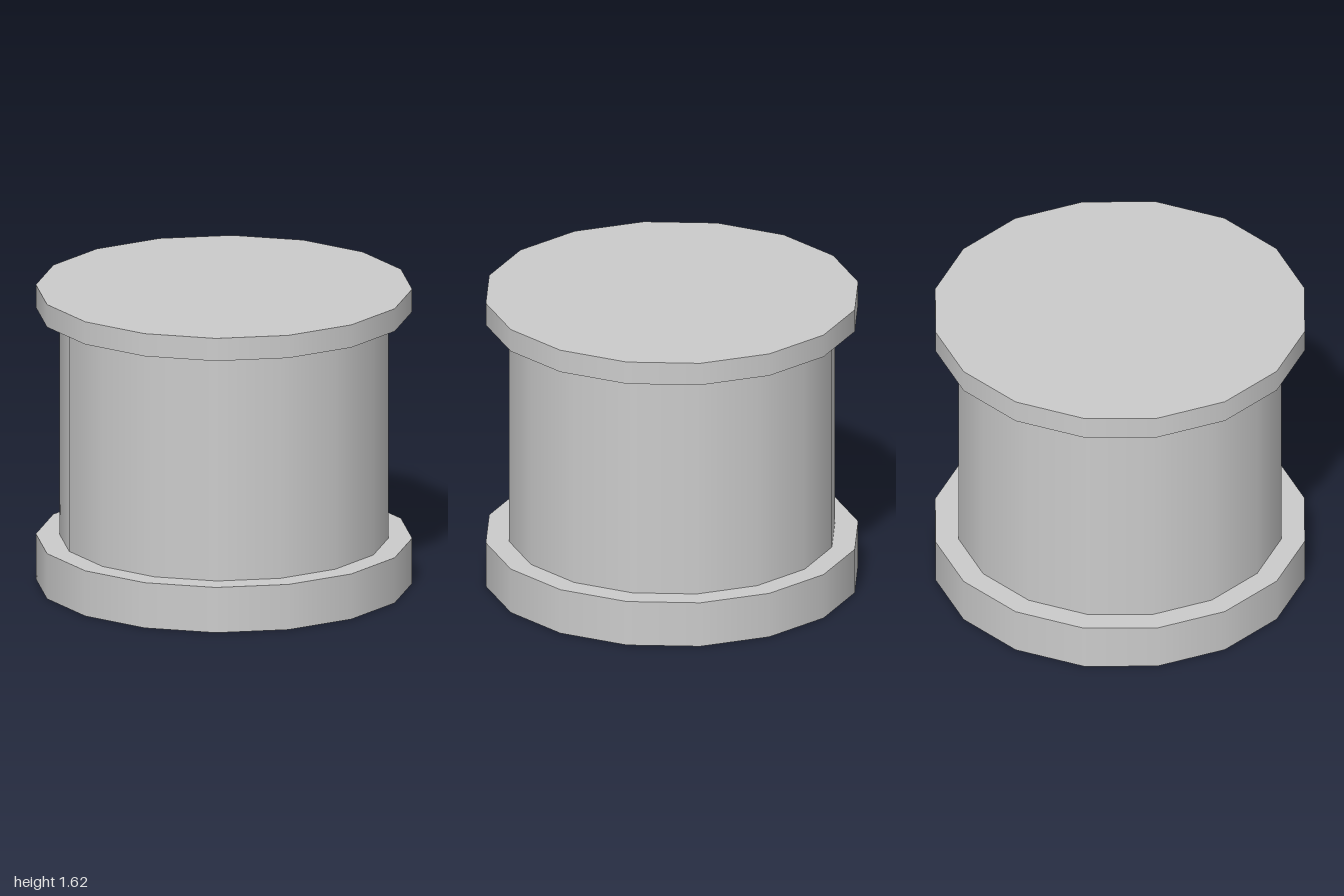
import * as THREE from 'three';

const SIDES = 16;

export function createModel() {
  const model = new THREE.Group();
  const material = new THREE.MeshStandardMaterial({ color: 0xcccccc });

  // A smooth-shaded 16-sided drum between two heights
  function addDrum(name, radius, bottom, top, openEnded = false) {
    const geometry = new THREE.CylinderGeometry(radius, radius, top - bottom, SIDES, 1, openEnded);
    const mesh = new THREE.Mesh(geometry, material);
    mesh.name = name;
    mesh.position.y = (bottom + top) / 2;
    model.add(mesh);
  }

  addDrum('baseFlange', 1, 0, 0.25);
  addDrum('barrel', 0.875, 0.25, 1.5, true); // ends are closed by the flanges
  addDrum('topFlange', 1, 1.5, 1.625);

  return model;
}
